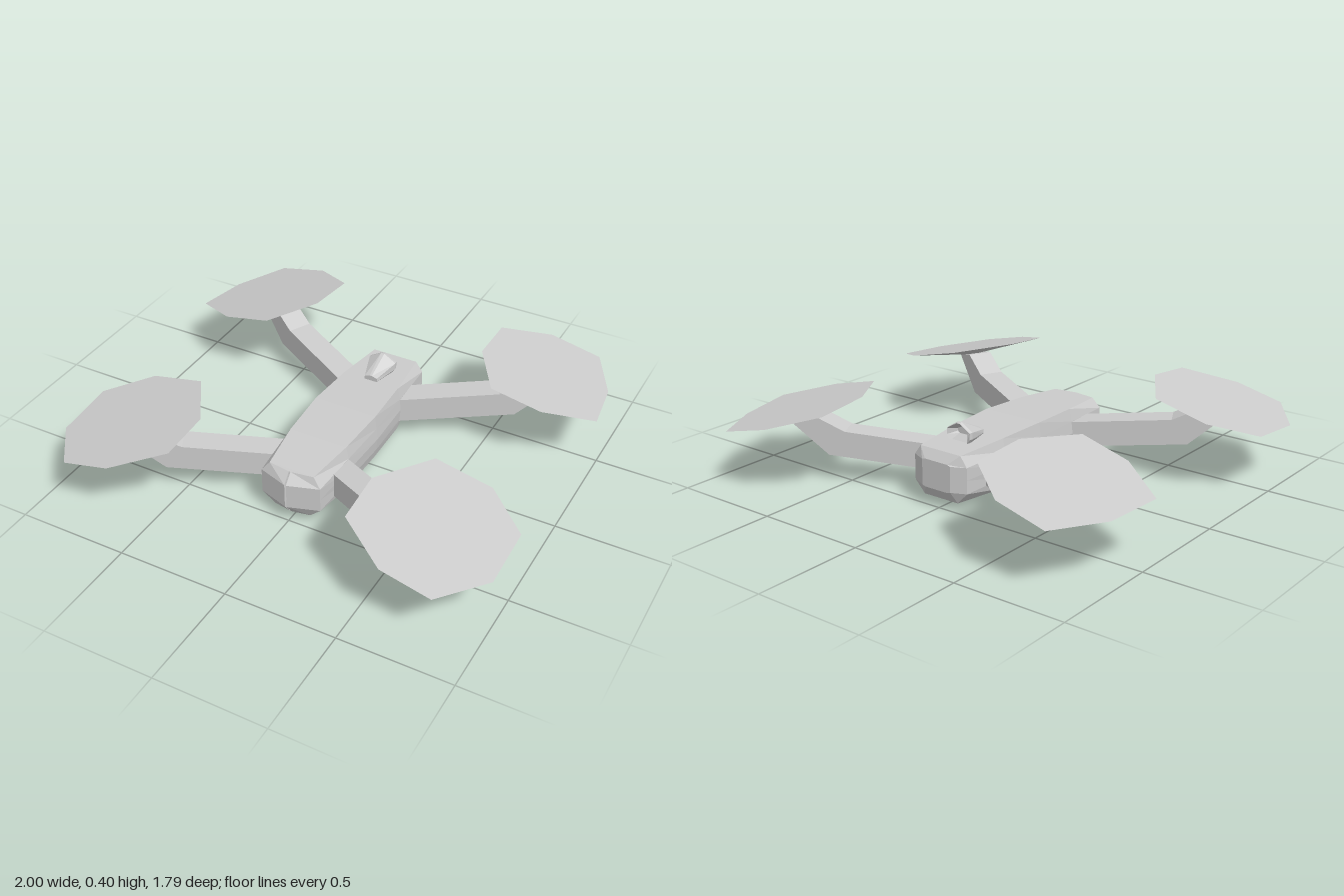
import * as THREE from 'three';

const grey = new THREE.MeshStandardMaterial({ color: 0xcccccc, flatShading: true });

// Closed solid through rings of points (counter-clockwise seen from the last ring).
function loft(rings, flip = false) {
  const pos = [];
  const tri = (a, b, c) => (flip ? [a, c, b] : [a, b, c]).forEach((p) => pos.push(...p));
  const n = rings[0].length;
  const centre = (r) => [0, 1, 2].map((k) => r.reduce((s, p) => s + p[k], 0) / n);
  for (let j = 0; j < n; j++) {
    const k = (j + 1) % n;
    for (let i = 0; i < rings.length - 1; i++) {
      const [a, b, c, d] = [rings[i][j], rings[i][k], rings[i + 1][k], rings[i + 1][j]];
      tri(a, b, c);
      tri(a, c, d);
    }
    const first = rings[0], last = rings[rings.length - 1];
    tri(centre(first), first[k], first[j]);
    tri(centre(last), last[j], last[k]);
  }
  const g = new THREE.BufferGeometry();
  g.setAttribute('position', new THREE.Float32BufferAttribute(pos, 3));
  g.computeVertexNormals();
  return g;
}

function add(parent, name, geometry) {
  const mesh = new THREE.Mesh(geometry, grey);
  mesh.name = name;
  parent.add(mesh);
  return mesh;
}

// Mirror a right-hand half outline [x, y] into a full ring at depth z.
const mirrorRing = (half, z) => [
  ...half.map(([x, y, dz = 0]) => [x, y, z + dz]),
  ...half.slice().reverse().map(([x, y, dz = 0]) => [-x, y, z + dz]),
];

// Fuselage section: z, half widths (bottom, side, middle, top), bottom and top heights,
// and how far the sides bulge forward of the bottom and top.
const bodyRing = ([z, wb, ws, wm, wt, yb, yt, bulge = 0]) => mirrorRing(
  [[wb, yb], [ws, 0.09, bulge], [wm, 0.15, bulge], [ws, 0.205, bulge], [wt, yt]], z);

// Bent arm: a rectangular section swept out from the body, up to the rotor.
function armGeometry(sx, sz) {
  const stations = [ // x and y of lower edge, x and y of upper edge
    [0.1, 0.085, 0.1, 0.2],
    [0.58, 0.13, 0.515, 0.24],
    [0.735, 0.28, 0.635, 0.305],
  ];
  const rings = stations.map(([xb, yb, xt, yt]) => {
    const at = (x, y, side) => [
      sx * (x - side * 0.025), y, sz * (0.3 + (x - 0.14) * 0.52 + side * 0.05),
    ];
    return [at(xb, yb, 1), at(xb, yb, -1), at(xt, yt, -1), at(xt, yt, 1)];
  });
  return loft(rings, sx * sz < 0);
}

// Tilted rotor disc: flat eight-sided top, shallow cone underneath.
function rotorGeometry(rim, sx, sz) {
  const height = (x, z) => 0.327 - 0.235 * (x - 0.7) - 0.09 * (z - 0.58);
  const top = rim.map(([x, z]) => [sx * x, height(x, z), sz * z]);
  const hub = rim.map(([x, z]) => [
    sx * (0.71 + (x - 0.71) * 0.02), 0.28, sz * (0.59 + (z - 0.59) * 0.02),
  ]);
  return loft([hub, top], sx * sz < 0);
}

export function createModel() {
  const model = new THREE.Group();
  model.name = 'quadcopter';

  // Fuselage, tail to wedge-shaped nose
  add(model, 'body', loft([
    [-0.515, 0.06, 0.075, 0.075, 0.06, 0.085, 0.21],
    [-0.485, 0.09, 0.14, 0.14, 0.107, 0.037, 0.25],
    [-0.24, 0.135, 0.147, 0.152, 0.135, 0.037, 0.262],
    [0, 0.14, 0.154, 0.16, 0.147, 0.037, 0.268],
    [0.24, 0.135, 0.147, 0.152, 0.135, 0.037, 0.262],
    [0.465, 0.085, 0.14, 0.14, 0.105, 0.037, 0.25, 0.01],
    [0.48, 0.004, 0.004, 0.004, 0.004, 0.037, 0.25, 0.04],
  ].map(bodyRing)));

  // Arms and rotors, one per corner; rims run counter-clockwise seen from above
  const frontRim = [[0.4, 0.52], [0.405, 0.75], [0.62, 0.888], [0.84, 0.89],
    [0.995, 0.68], [0.995, 0.41], [0.81, 0.267], [0.56, 0.273]];
  const rearRim = [[0.42, 0.5], [0.41, 0.75], [0.608, 0.89], [0.84, 0.9],
    [0.965, 0.67], [1, 0.42], [0.79, 0.29], [0.562, 0.275]];
  for (const sz of [1, -1]) {
    for (const sx of [1, -1]) {
      const label = (sz > 0 ? 'front' : 'rear') + (sx > 0 ? 'Left' : 'Right');
      add(model, label + 'Arm', armGeometry(sx, sz));
      add(model, label + 'Rotor', rotorGeometry(sz > 0 ? frontRim : rearRim, sx, sz));
    }
  }

  // Wedge-shaped fin with a hollowed rear face
  add(model, 'topFin', loft([
    mirrorRing([[0.02, 0.28], [0.03, 0.288], [0.03, 0.3], [0.006, 0.312]], -0.335),
    mirrorRing([[0.045, 0.25], [0.062, 0.275], [0.062, 0.303], [0.008, 0.335]], -0.37),
    mirrorRing([[0.048, 0.25], [0.065, 0.275], [0.065, 0.305], [0.008, 0.34]], -0.355),
    mirrorRing([[0.025, 0.25], [0.032, 0.265], [0.03, 0.28], [0.005, 0.287]], -0.24),
  ]));

  // Sensor plate and lens below
  const plate = (w, y) => [[1, -0.205], [0.45, -0.237], [-0.45, -0.237], [-1, -0.205],
    [-1, -0.04], [-0.45, -0.003], [0.45, -0.003], [1, -0.04]].map(([x, z]) => [x * w, y, z]);
  add(model, 'sensorPlate', loft([plate(0.06, 0.014), plate(0.07, 0.042)]));
  const lens = add(model, 'sensorLens', new THREE.CylinderGeometry(0.06, 0.058, 0.02, 8));
  lens.position.set(0, 0.01, -0.115);
  lens.rotation.y = Math.PI / 8;
  return model;
}
